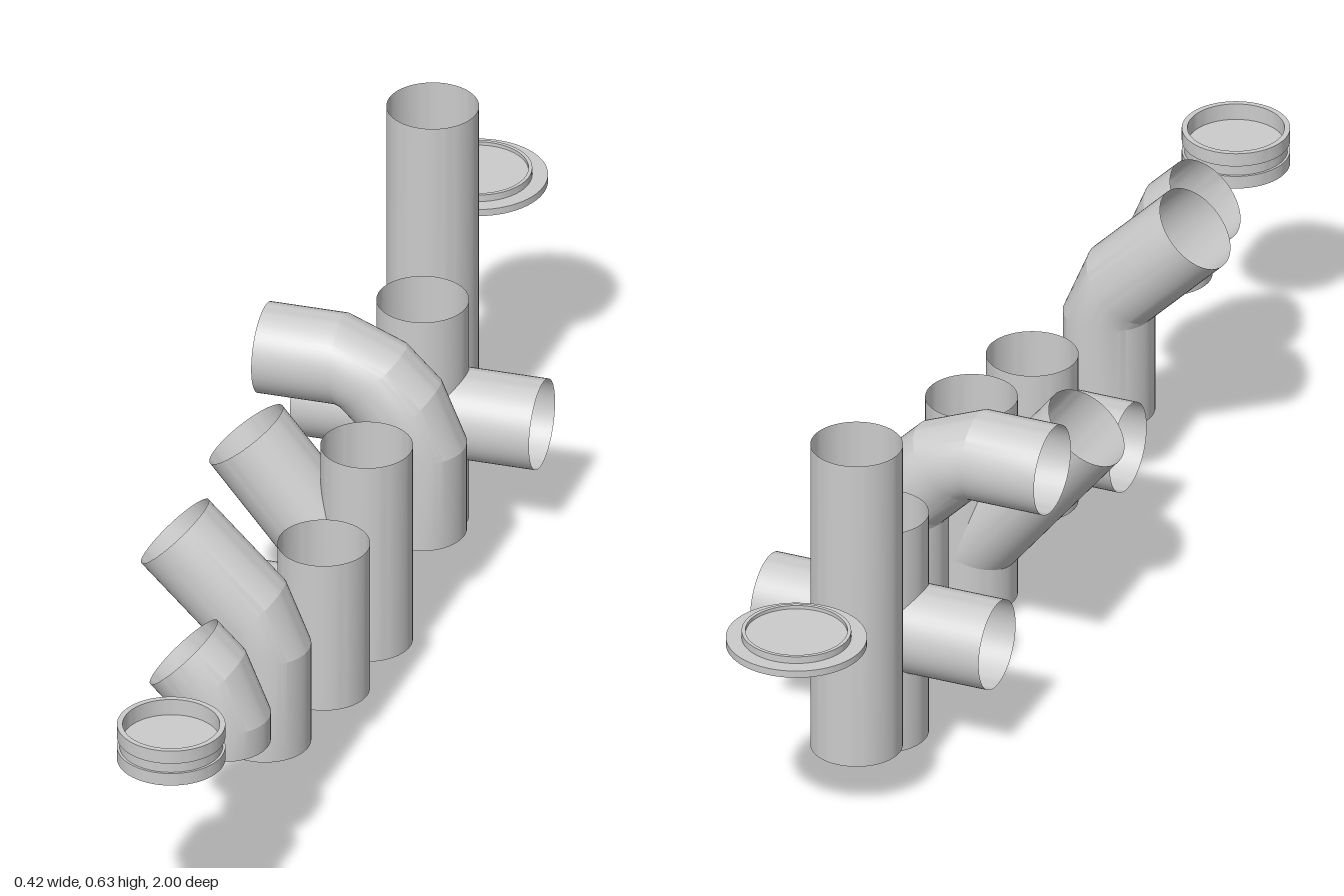
import * as THREE from 'three';
import { toCreasedNormals } from 'three/addons/utils/BufferGeometryUtils.js';

const R = 0.0735; // pipe radius
const SIDES = 48;
const material = new THREE.MeshStandardMaterial({ color: 0xcccccc, side: THREE.DoubleSide });

// Open pipe skinned through rings [x, y, tilt]; tilt 0 points up, 90 degrees points to -x
function pipe(name, rings) {
  const positions = [], index = [];
  rings.forEach(([x, y, tilt], j) => {
    for (let i = 0; i <= SIDES; i++) {
      const a = (i / SIDES) * Math.PI * 2;
      const u = R * Math.cos(a);
      positions.push(x + u * Math.cos(tilt), y + u * Math.sin(tilt), -R * Math.sin(a));
      if (j > 0 && i < SIDES) {
        const p = (j - 1) * (SIDES + 1) + i, q = p + SIDES + 1;
        index.push(p, p + 1, q + 1, p, q + 1, q);
      }
    }
  });
  const geometry = new THREE.BufferGeometry();
  geometry.setAttribute('position', new THREE.Float32BufferAttribute(positions, 3));
  geometry.setIndex(index);
  const mesh = new THREE.Mesh(toCreasedNormals(geometry, 0.27), material);
  mesh.name = name;
  return mesh;
}

const upright = (name, x, y0, y1) => pipe(name, [[x, y0, 0], [x, y1, 0]]);

// Ring hinged on the inner corner of a bend
const hinge = (px, py, tilt) => [px + R * Math.cos(tilt), py + R * Math.sin(tilt), tilt];

// Ring moved forward along its own axis
const forward = ([x, y, tilt], d) => [x - d * Math.sin(tilt), y + d * Math.cos(tilt), tilt];

// Elbow with a single 45 degree bend
function elbow45(name, y0, length) {
  const px = -0.05, py = 0.288;
  const end = hinge(px, py, Math.PI / 4);
  return pipe(name, [[px + R, y0, 0], hinge(px, py, 0), end, forward(end, length)]);
}

// Elbow made of two 45 degree bends with a short run between them
function elbow90(name) {
  const a = Math.PI / 4, y0 = 0.271, dx = 0.057;
  return pipe(name, [
    [R, 0.112, 0], hinge(0, y0, 0), hinge(0, y0, a),
    hinge(-dx, y0 + dx, a), hinge(-dx, y0 + dx, 2 * a), [-0.185, y0 + dx + R, 2 * a],
  ]);
}

// Turned part from [radius, y] points
function turned(name, points, x) {
  const profile = points.map(([r, y]) => new THREE.Vector2(r, y));
  const geometry = toCreasedNormals(new THREE.LatheGeometry(profile, 64), 0.5);
  const mesh = new THREE.Mesh(geometry, material);
  mesh.name = name;
  mesh.position.x = x;
  return mesh;
}

export function createModel() {
  const model = new THREE.Group();
  model.name = 'pipeFittings';

  function fitting(name, z, ...parts) {
    const group = new THREE.Group();
    group.name = name;
    group.position.z = z;
    group.add(...parts);
    model.add(group);
  }

  // Grooved end cap with a recessed floor
  fitting('endCap', 0.914, turned('cap', [
    [0, 0.333], [0.077, 0.333], [0.079, 0.327], [0.086, 0.327], [0.086, 0.349], [0.082, 0.349],
    [0.082, 0.367], [0.086, 0.367], [0.086, 0.39], [0.077, 0.39], [0.077, 0.362], [0, 0.362],
  ], 0.003));

  // Short and long 45 degree elbows
  fitting('shortElbow', 0.684, elbow45('shortElbowPipe', 0.238, 0.065));
  fitting('longElbow', 0.457, elbow45('longElbowPipe', 0.11, 0.18));

  // Tee with one side branch starting on the pipe axis
  const quarter = Math.PI / 2;
  fitting('tee', 0.203,
    upright('teePipe', 0.046, 0.067, 0.332),
    pipe('teeBranch', [[0.043, 0.199, quarter], [-0.12, 0.199, quarter]]));

  // Wye with a slanted branch
  const slant = Math.atan2(0.63, 0.777);
  const root = [0.046, 0.1185, slant];
  fitting('wye', -0.038,
    upright('wyePipe', 0.046, 0.022, 0.377),
    pipe('wyeBranch', [root, forward(root, 0.316)]));

  // Right-angle elbow
  fitting('rightAngleElbow', -0.248, elbow90('rightAngleElbowPipe'));

  // Cross with a through pipe
  fitting('cross', -0.472,
    upright('crossPipe', 0.011, 0, 0.396),
    pipe('crossArms', [[0.208, 0.199, quarter], [-0.187, 0.199, quarter]]));

  // Long straight pipe
  fitting('straightPipe', -0.674, upright('straightPipeWall', -0.032, 0.087, 0.631));

  // Flanged cover with raised rims above and below
  fitting('flangedCover', -0.888, turned('cover', [
    [0, 0.368], [0.081, 0.368], [0.081, 0.363], [0.087, 0.363], [0.087, 0.376], [0.112, 0.376],
    [0.112, 0.388], [0.087, 0.388], [0.087, 0.4], [0.081, 0.4], [0.081, 0.394], [0, 0.394],
  ], -0.021));

  return model;
}
